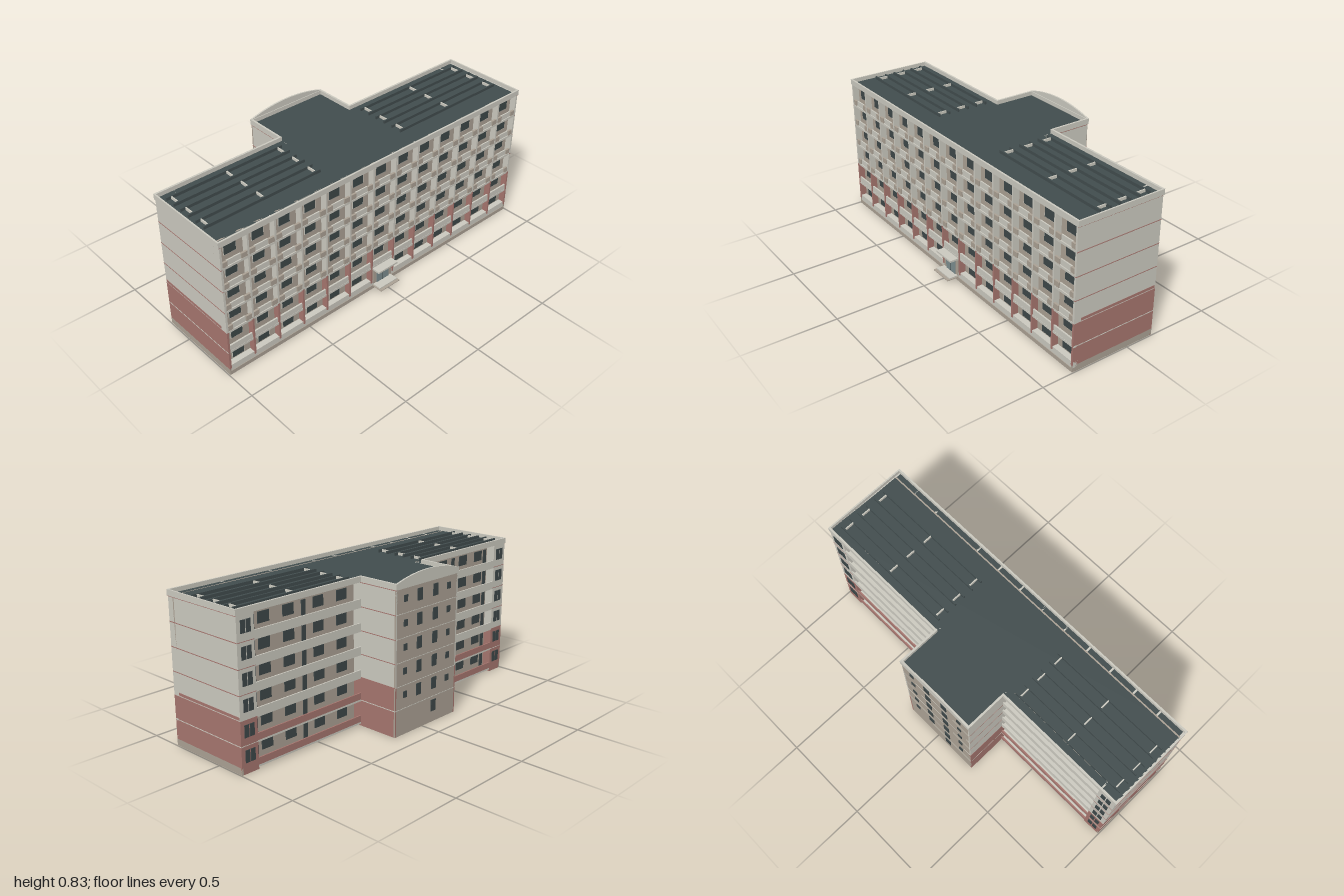
import * as THREE from 'three';
import { mergeGeometries } from 'three/addons/utils/BufferGeometryUtils.js';

const material = (name, color, side = THREE.FrontSide) =>
  new THREE.MeshStandardMaterial({ name, color, side });

export function createModel() {
  const light = material('light concrete', 0xcac8be);
  const tan = material('tan plaster', 0xaaa093);
  const red = material('red plaster', 0xa5756e);
  const dark = material('dark roofing', 0x414c4d);
  const glass = material('window glass', 0x3d4748);
  const doorGlass = material('door glass', 0x7b8c8e);

  // Boxes of the same part and colour are gathered, then merged into one mesh
  const parts = new Map();
  const add = (name, mat, geometry) => {
    const key = name + mat.name;
    if (!parts.has(key)) parts.set(key, { name, mat, list: [] });
    parts.get(key).list.push(geometry);
  };
  const box = (name, mat, x0, x1, y0, y1, z0, z1) => {
    const g = new THREE.BoxGeometry(Math.abs(x1 - x0), y1 - y0, z1 - z0);
    g.translate((x0 + x1) / 2, (y0 + y1) / 2, (z0 + z1) / 2);
    add(name, mat, g);
  };

  const X = 0.995, FRONT = 0.33, BACK = -0.16;
  const WALL_F = 0.295, WALL_B = -0.11;          // recessed wall planes
  const CX0 = -0.262, CX1 = 0.21, CORE = -0.39;  // stair core
  const TOP = 0.79, ROOF = 0.768, SPLIT = 0.265;
  const STOREY = 0.1235, floorY = k => 0.016 + STOREY * k;
  const T = 0.008;

  // A side wall across x, red below and light above, with thin floor joints
  const sideWall = (name, x, out, z0, z1, base) => {
    const xa = x - out * T;
    box(name, red, xa, x, base, SPLIT, z0, z1);
    box(name, light, xa, x, SPLIT, ROOF, z0, z1);
    for (let k = 1; k <= 6; k++) {
      const y = floorY(k);
      box('floorJoint', k === 1 ? light : red, xa - out * 0.001, x + out * 0.001,
        y - 0.0015, y + 0.0025, z0, z1);
    }
  };

  // End walls and their plinths
  for (const s of [-1, 1]) {
    sideWall('endWall', s * X, s, BACK, FRONT, 0.035);
    box('plinth', tan, s * (X - T), s * X, 0, 0.035, BACK, FRONT);
    box('endWallBand', red, s * X, s * (X + 0.001), 0.27, 0.285, -0.155, 0.29);
  }

  // Front wall, plinth and ground band
  box('frontWall', tan, -X, X, 0, ROOF, WALL_F - T, WALL_F);
  box('plinth', tan, -X, X, 0, 0.022, WALL_F, FRONT);
  box('groundBand', light, -X, X, 0.022, 0.055, WALL_F, FRONT - 0.003);

  // Front bays: windows and balcony fronts
  const BAYS = 13, bay = 2 * X / BAYS;
  for (let i = 0; i < BAYS; i++) {
    const x = -X + bay * (i + 0.5);
    for (let k = 0; k < 6; k++) {
      const y = floorY(k), atDoor = i === 6 && k === 0;
      if (!atDoor) {
        box('windowFrame', light, x - 0.035, x + 0.035, y + 0.045, y + 0.108, WALL_F, WALL_F + 0.002);
        box('frontWindow', glass, x - 0.032, x + 0.032, y + 0.048, y + 0.105, WALL_F, WALL_F + 0.004);
      }
      if (k === 0) continue;
      box('balconySlab', light, x - bay / 2, x + bay / 2, y - 0.006, y + 0.006, WALL_F, FRONT - 0.002);
      if (k === 1) {
        box('balconyFront', light, x - bay / 2 + 0.008, x + bay / 2 - 0.008, y + 0.006, y + 0.038, FRONT - 0.012, FRONT - 0.003);
      } else {
        box('balconyFront', light, x - 0.038, x + 0.038, y + 0.006, y + 0.036, FRONT - 0.014, FRONT - 0.007);
        for (const s of [-1, 1])
          box('balconyCorner', tan, x + s * 0.038, x + s * (bay / 2 - 0.004), y + 0.008, y + 0.036, FRONT - 0.012, FRONT - 0.001);
      }
    }
  }

  // Fins between the bays, red on the two lower storeys
  for (let i = 0; i <= BAYS; i++) {
    const x = THREE.MathUtils.clamp(-X + bay * i, -X + 0.006, X - 0.006);
    box('fin', red, x - 0.005, x + 0.005, 0.04, SPLIT, WALL_F, FRONT);
    box('fin', light, x - 0.005, x + 0.005, SPLIT, ROOF, WALL_F, FRONT);
  }

  // Entrance: glazed door, canopy and steps
  box('doorFrame', tan, -0.065, 0.065, 0.025, 0.125, WALL_F, FRONT);
  box('entranceDoor', doorGlass, -0.042, 0.042, 0.028, 0.118, FRONT, FRONT + 0.004);
  box('doorMullion', glass, -0.001, 0.001, 0.028, 0.118, FRONT + 0.004, FRONT + 0.006);
  box('canopy', light, -0.07, 0.065, 0.126, 0.136, 0.28, 0.375);
  box('step', tan, -0.07, 0.065, 0.021, 0.025, FRONT, 0.395);
  box('step', light, -0.065, 0.06, 0.025, 0.031, FRONT, 0.38);

  // Rear of each wing
  for (const s of [-1, 1]) {
    const inner = s > 0 ? CX1 : CX0, bayEnd = s * 0.895;
    box('rearWall', tan, inner, bayEnd, 0, ROOF, WALL_B, WALL_B + T);
    box('cornerWall', red, bayEnd, s * X, 0, SPLIT, BACK, BACK + T);
    box('cornerWall', light, bayEnd, s * X, SPLIT, ROOF, BACK, BACK + T);
    box('cornerReturn', red, bayEnd, bayEnd + s * T, 0, SPLIT, BACK, WALL_B + T);
    box('cornerReturn', light, bayEnd, bayEnd + s * T, SPLIT, ROOF, BACK, WALL_B + T);
    const span = bayEnd - inner;
    for (let k = 0; k < 6; k++) {
      const y = floorY(k), paint = k < 2 ? red : light;
      box('rearBalconySlab', light, inner, bayEnd, y - 0.005, y + 0.005, BACK, WALL_B);
      box('rearBalconyFront', paint, inner, bayEnd, y + 0.005, y + 0.04, BACK, BACK + 0.007);
      // Windows with a balcony door and a pier near the middle
      for (const t of [0.13, 0.36, 0.64, 0.86]) {
        const x = inner + span * t;
        box('rearWindow', glass, x - 0.034, x + 0.034, y + 0.045, y + 0.1, WALL_B - 0.004, WALL_B);
      }
      for (const t of [0.5, 0.96]) {
        const x = inner + span * t;
        box('balconyDoor', glass, x - 0.013, x + 0.013, y + 0.01, y + 0.1, WALL_B - 0.004, WALL_B);
      }
      // Paired corner windows
      for (const d of [-0.016, 0.016]) {
        const x = s * 0.944 + d;
        box('cornerWindow', glass, x - 0.013, x + 0.013, y + 0.04, y + 0.102, BACK - 0.003, BACK);
      }
      if (k) box('floorJoint', k === 1 ? light : red, bayEnd, s * X, y - 0.001, y + 0.002, BACK - 0.001, BACK);
    }
  }

  // Stair core with its windows
  sideWall('coreSide', CX1, 1, CORE, BACK + 0.05, 0);
  sideWall('coreSide', CX0, -1, CORE, BACK + 0.05, 0);
  box('coreBack', tan, CX0, CX1, 0, ROOF, CORE, CORE + T);
  for (let k = 0; k < 6; k++) {
    const y = floorY(k);
    if (k) box('floorJoint', light, CX0, CX1, y - 0.001, y + 0.002, CORE - 0.001, CORE);
    for (const [x, w, h] of [[0.14, 0.026, 0.034], [0.035, 0.036, 0.062], [-0.085, 0.036, 0.062], [-0.19, 0.026, 0.034]]) {
      if (k === 0 && x !== -0.085) continue;
      box('coreWindow', glass, x - w / 2, x + w / 2, y + 0.075 - h / 2, y + 0.075 + h / 2, CORE - 0.004, CORE);
    }
  }

  // Roof deck
  box('roofDeck', dark, -X, X, ROOF - 0.008, ROOF, BACK, FRONT);
  box('roofDeck', dark, CX0, CX1, ROOF - 0.008, ROOF, CORE, BACK);

  // Parapet around the plan outline
  const P = 0.008, PY = 0.76;
  box('parapet', light, -1, 1, PY, TOP, FRONT - P, FRONT + 0.002);
  for (const s of [-1, 1]) {
    const inner = s > 0 ? CX1 : CX0;
    box('parapet', light, s * (1 - P), s, PY, TOP, BACK - 0.003, FRONT + 0.002);
    box('parapet', light, inner, s, PY, TOP, BACK - 0.003, BACK + P);
    box('parapet', light, inner - s * P, inner + s * 0.003, PY, TOP, CORE - 0.005, BACK + P);
  }
  box('parapet', light, CX0 - 0.003, CX1 + 0.003, PY, TOP, CORE - 0.005, CORE + P);

  // Curved crest over the stair core
  const half = (CX1 - CX0) / 2, rise = 0.036, R = (half * half + rise * rise) / (2 * rise);
  const a = Math.asin(half / R);
  const arc = new THREE.Shape();
  arc.absarc(0, rise - R, R, Math.PI / 2 - a, Math.PI / 2 + a, false);
  const crest = new THREE.ExtrudeGeometry(arc, { depth: 0.009, bevelEnabled: false, curveSegments: 24 });
  crest.translate((CX0 + CX1) / 2, TOP, CORE - 0.005);
  add('crest', light, crest);

  // Long roof vents, three on each wing
  for (const [x0, x1] of [[-0.97, -0.295], [0.24, 0.965]]) {
    for (const z of [-0.075, 0.038, 0.155]) {
      for (const d of [-0.03, 0.03])
        box('roofVent', dark, x0, x1, ROOF, TOP - 0.006, z + d - 0.004, z + d + 0.004);
      for (const x of [x0 + 0.027, (x0 + x1) / 2, x1 - 0.027])
        box('ventRib', light, x - 0.003, x + 0.003, ROOF, TOP - 0.008, z - 0.028, z + 0.028);
    }
  }

  const model = new THREE.Group();
  model.name = 'apartmentBlock';
  for (const { name, mat, list } of parts.values()) {
    const mesh = new THREE.Mesh(list.length > 1 ? mergeGeometries(list) : list[0], mat);
    mesh.name = name;
    model.add(mesh);
  }
  return model;
}
